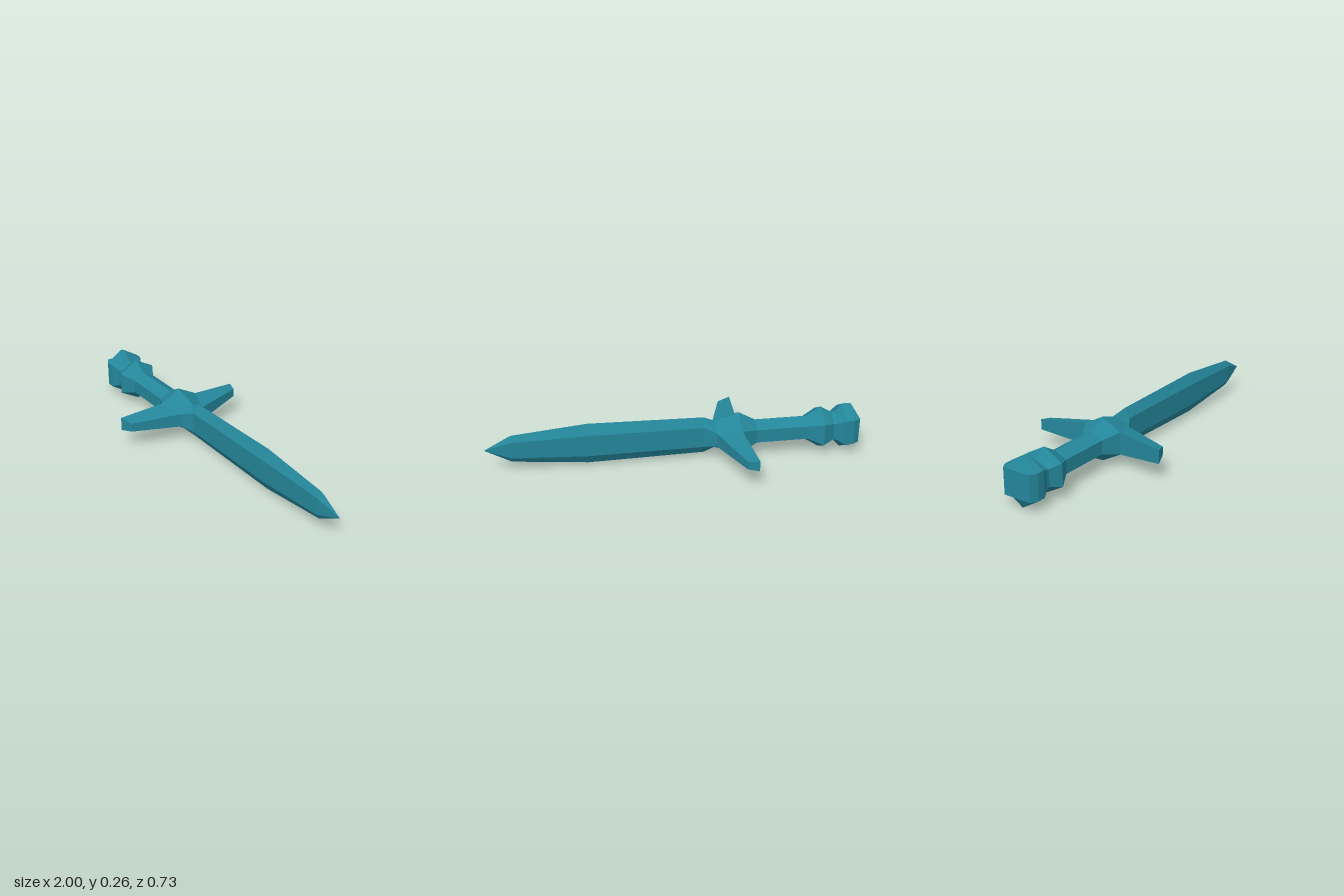
import * as THREE from 'three';

const CY = 0.13, CZ = 0.008; // centre line of the sword, which lies along x

// Six-sided section: ridge half-height h, side-facet half-height s, half-width w
const hex = ([x, h, s, w]) => [
  [h, 0], [s, w], [-s, w], [-h, 0], [-s, -w], [s, -w],
].map(([y, z]) => new THREE.Vector3(x, CY + y, CZ + z));

// Flat-faced skin over a list of rings; rings run counter-clockwise about the path
function skin(rings, { capStart = false, capEnd = false, open = [] } = {}) {
  const pos = [];
  const tri = (a, b, c) => {
    const area = b.clone().sub(a).cross(c.clone().sub(a)).length();
    if (area > 1e-7) for (const p of [a, b, c]) pos.push(p.x, p.y, p.z);
  };
  const cap = (ring) => {
    for (let i = 1; i < ring.length - 1; i++) tri(ring[0], ring[i], ring[i + 1]);
  };
  for (let k = 0; k < rings.length - 1; k++) {
    const a = rings[k], b = rings[k + 1], n = a.length;
    for (let i = 0; i < n; i++) {
      if (open.some(([seg, side]) => seg === k && side === i)) continue;
      const j = (i + 1) % n;
      tri(a[i], a[j], b[j]);
      tri(a[i], b[j], b[i]);
    }
  }
  if (capStart) cap([...rings[0]].reverse());
  if (capEnd) cap(rings[rings.length - 1]);
  const geo = new THREE.BufferGeometry();
  geo.setAttribute('position', new THREE.Float32BufferAttribute(pos, 3));
  geo.computeVertexNormals();
  return geo;
}

export function createModel() {
  const group = new THREE.Group();
  group.name = 'sword';
  const teal = new THREE.MeshStandardMaterial({ color: 0x24869a });
  teal.name = 'teal';
  const add = (name, geo) => {
    const mesh = new THREE.Mesh(geo, teal);
    mesh.name = name;
    group.add(mesh);
  };

  // Shared joints: [x, ridge half-height, facet half-height, half-width]
  const gripBack = [-0.72, 0.07, 0.037, 0.063];
  const gripFront = [-0.44, 0.07, 0.037, 0.063];
  const guardWide = [-0.35, 0.12, 0.06, 0.11];
  const guardNeck = [-0.22, 0.08, 0.038, 0.07];
  const bladeRoot = [-0.16, 0.105, 0.057, 0.032];

  // Pommel knob, neck and collar
  add('pommel', skin([
    [-1, 0.07, 0.07, 0.078],
    [-0.965, 0.13, 0.07, 0.098],
    [-0.92, 0.13, 0.07, 0.098],
    [-0.88, 0.085, 0.05, 0.077],
    [-0.86, 0.083, 0.046, 0.075],
    [-0.8, 0.12, 0.06, 0.107],
    gripBack,
  ].map(hex), { capStart: true }));

  add('grip', skin([gripBack, gripFront].map(hex)));

  // Guard hub, left open where the arms grow out
  add('guardHub', skin([gripFront, guardWide, guardNeck, bladeRoot].map(hex),
    { open: [[1, 1], [1, 4]] }));

  // Cross-guard arms, swept back toward the grip
  const arms = [
    { name: 'frontGuardArm', side: 1, back: [-0.372, 0.037, 0.366], fore: [-0.302, 0.024, 0.342] },
    { name: 'backGuardArm', side: -1, back: [-0.385, 0.029, -0.368], fore: [-0.327, 0.022, -0.352] },
  ];
  for (const { name, side, back, fore } of arms) {
    const ring = ([x0, s0, z0], [x1, s1, z1]) => {
      const r = [[x0, s0, z0], [x1, s1, z1], [x1, -s1, z1], [x0, -s0, z0]]
        .map(([x, y, z]) => new THREE.Vector3(x, CY + y, z));
      return side > 0 ? r.reverse() : r;
    };
    const root = ([x, , s, w]) => [x, s, CZ + side * w];
    add(name, skin([ring(root(guardWide), root(guardNeck)), ring(back, fore)], { capEnd: true }));
  }

  // Blade tapering to a point
  add('blade', skin([
    bladeRoot,
    [0.46, 0.116, 0.06, 0.034],
    [0.86, 0.077, 0.046, 0.022],
    [1, 0, 0, 0],
  ].map(hex)));

  return group;
}
